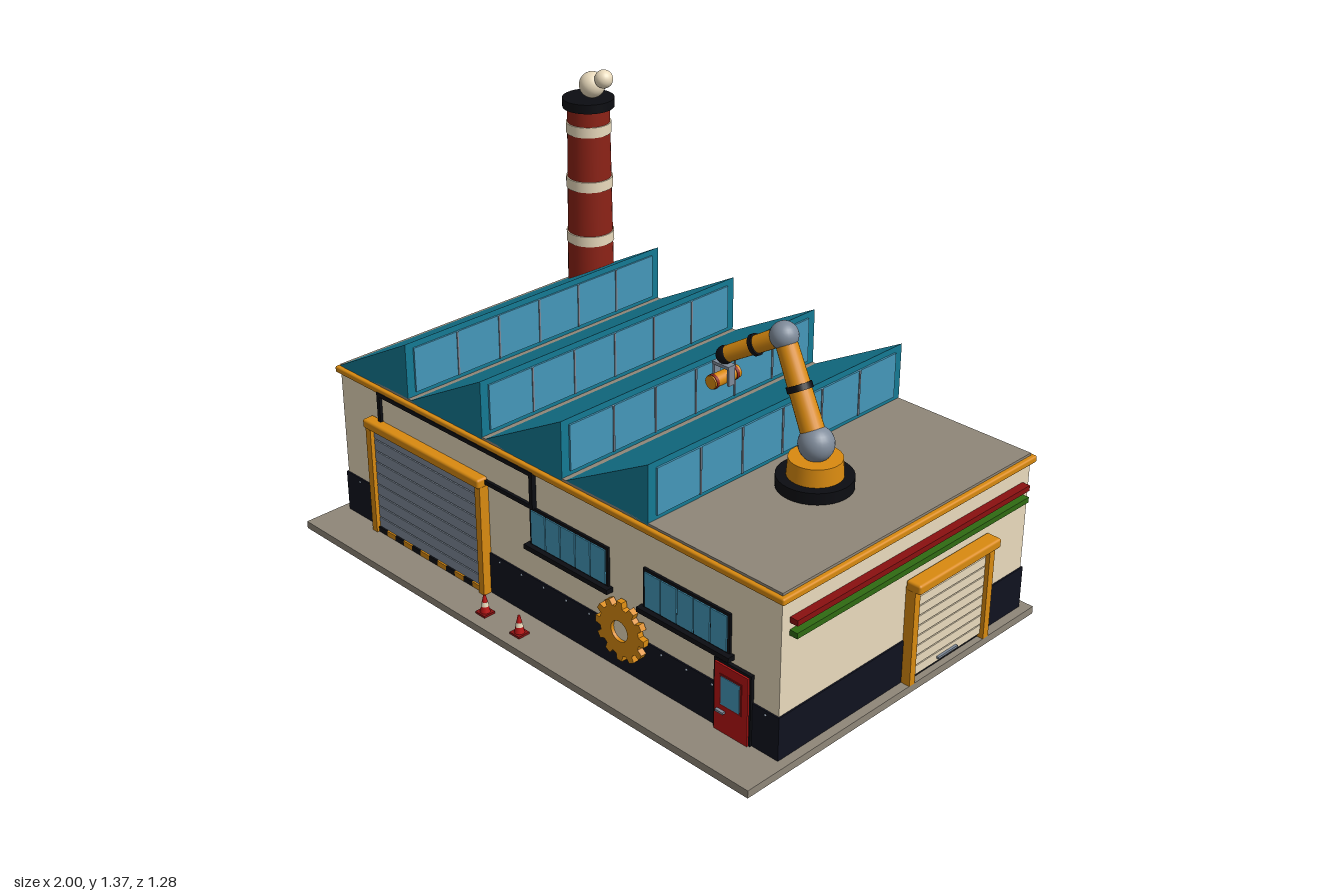
import * as THREE from 'three';
import { RoundedBoxGeometry } from 'three/addons/geometries/RoundedBoxGeometry.js';

const C = {
  cream: 0xeadbbd, navy: 0x10121f, orange: 0xd98a10, red: 0xb81414, brick: 0x8c2216, teal: 0x147a94,
  glass: 0x4598ba, slab: 0x8f8779, steel: 0x7f8b9a, black: 0x0c0d12, green: 0x2f6a12, maroon: 0x8a1010,
};
const mats = {};
const mat = (c) => (mats[c] ??= new THREE.MeshStandardMaterial({ color: C[c] }));

function add(parent, name, geo, color, x = 0, y = 0, z = 0) {
  const m = new THREE.Mesh(geo, mat(color));
  m.name = name;
  m.position.set(x, y, z);
  parent.add(m);
  return m;
}

// Box given by its extents; r > 0 rounds the edges
function box(parent, name, color, x0, x1, y0, y1, z0, z1, r = 0) {
  const s = [x1 - x0, y1 - y0, z1 - z0];
  const geo = r ? new RoundedBoxGeometry(...s, 2, r) : new THREE.BoxGeometry(...s);
  return add(parent, name, geo, color, (x0 + x1) / 2, (y0 + y1) / 2, (z0 + z1) / 2);
}

const cyl = (parent, name, color, r0, r1, y0, y1, x = 0, z = 0) =>
  add(parent, name, new THREE.CylinderGeometry(r1, r0, y1 - y0, 32), color, x, (y0 + y1) / 2, z);

const ball = (parent, name, color, r, p) => add(parent, name, new THREE.SphereGeometry(r, 24, 16), color, ...p);

// Cylinder between two points
function rod(parent, name, color, a, b, ra, rb = ra) {
  const d = b.clone().sub(a);
  const m = add(parent, name, new THREE.CylinderGeometry(rb, ra, d.length(), 24), color);
  m.position.copy(a).addScaledVector(d, 0.5);
  m.quaternion.setFromUnitVectors(new THREE.Vector3(0, 1, 0), d.normalize());
}

function group(parent, name, x = 0, y = 0, z = 0) {
  const g = new THREE.Group();
  g.name = name;
  g.position.set(x, y, z);
  parent.add(g);
  return g;
}

// Roller door standing on its group's origin, facing +z
function rollerDoor(g, w, h, color, slats, depth) {
  const post = 0.024, hw = w / 2;
  for (const s of [-1, 1]) {
    const x = s * (hw - post / 2);
    box(g, 'doorPost', 'orange', x - post / 2, x + post / 2, 0, h - 0.02, 0, 0.034);
  }
  box(g, 'doorHeader', 'orange', -hw - 0.003, hw + 0.003, h - 0.032, h, 0, depth, 0.008);
  box(g, 'doorBacking', 'black', -hw + post, hw - post, 0, h - 0.02, 0, 0.012);
  const pitch = (h - 0.042) / slats;
  for (let i = 0; i < slats; i++) {
    const y = 0.012 + i * pitch;
    box(g, 'doorSlat', color, -hw + post, hw - post, y + 0.002, y + pitch - 0.002, 0, 0.02);
  }
}

// Glazed strip window facing +z
function stripWindow(g, w, h, panes) {
  box(g, 'windowFrame', 'black', -w / 2, w / 2, 0, h, 0, 0.008);
  box(g, 'windowSill', 'black', -w / 2 - 0.012, w / 2 + 0.012, -0.012, 0.004, 0, 0.025);
  const p = (w - 0.014) / panes;
  for (let i = 0; i < panes; i++) {
    const x = -w / 2 + 0.007 + i * p;
    box(g, 'windowPane', 'glass', x + 0.002, x + p - 0.002, 0.009, h - 0.009, 0, 0.012);
  }
}

function gearGeometry(teeth, rIn, rOut, rHole, depth) {
  const s = new THREE.Shape();
  const step = (Math.PI * 2) / teeth;
  for (let i = 0; i < teeth; i++) {
    [[-0.32, rIn], [-0.2, rOut], [0.2, rOut], [0.32, rIn]].forEach(([f, r], k) => {
      const a = (i + f) * step;
      s[i + k === 0 ? 'moveTo' : 'lineTo'](Math.cos(a) * r, Math.sin(a) * r);
    });
  }
  s.closePath();
  s.holes.push(new THREE.Path().absarc(0, 0, rHole, 0, Math.PI * 2, true));
  return new THREE.ExtrudeGeometry(s, { depth, bevelEnabled: false, curveSegments: 24 });
}

function buildShell(root) {
  box(root, 'groundSlab', 'slab', -1, 0.98, 0, 0.025, -0.638, 0.638);
  box(root, 'walls', 'cream', -0.965, 0.945, 0.025, 0.535, -0.603, 0.482);
  box(root, 'baseBand', 'navy', -0.97, 0.95, 0.025, 0.167, -0.608, 0.487);
  box(root, 'roofTrim', 'orange', -0.98, 0.96, 0.53, 0.552, -0.617, 0.495, 0.006);
  box(root, 'roofDeck', 'slab', -0.965, 0.945, 0.54, 0.56, -0.603, 0.482);
  for (let i = 0; i < 19; i++) ball(root, 'rivet', 'steel', 0.004, [-0.9 + i * 0.1, 0.153, 0.487]);
  // Side stripes
  box(root, 'redStripe', 'maroon', 0.94, 0.972, 0.455, 0.473, -0.573, 0.45);
  box(root, 'greenStripe', 'green', 0.94, 0.972, 0.415, 0.433, -0.573, 0.45);
}

function buildSawtoothRoof(root) {
  const z0 = -0.605, z1 = 0.482, w = 0.354;
  for (let i = 0; i < 4; i++) {
    const g = group(root, 'sawtooth', -0.97 + i * w, 0.553, 0);
    const s = new THREE.Shape();
    s.moveTo(0, 0).lineTo(w - 0.003, 0).lineTo(w - 0.003, 0.192).closePath();
    add(g, 'roofWedge', new THREE.ExtrudeGeometry(s, { depth: z1 - z0, bevelEnabled: false }), 'teal', 0, 0, z0);
    // Skylight glazing on the upright face
    box(g, 'skylight', 'glass', w - 0.01, w + 0.003, 0.022, 0.172, -0.573, 0.452);
    for (let k = 1; k < 6; k++) {
      const z = 0.452 - (k * 1.025) / 6;
      box(g, 'mullion', 'steel', w - 0.005, w + 0.006, 0.022, 0.172, z - 0.003, z + 0.003);
    }
  }
}

function buildChimney(root) {
  const g = group(root, 'chimney', -0.83, 0, -0.49);
  cyl(g, 'stack', 'brick', 0.08, 0.071, 0.54, 1.23);
  for (const [y, r] of [[0.768, 0.081], [0.963, 0.079], [1.155, 0.076]]) cyl(g, 'stackRing', 'cream', r, r, y - 0.018, y + 0.018);
  cyl(g, 'stackCap', 'black', 0.087, 0.087, 1.225, 1.256);
  ball(g, 'smokePuff', 'cream', 0.044, [0.02, 1.303, 0]);
  ball(g, 'smokePuff', 'cream', 0.031, [0.076, 1.335, 0]);
}

function buildRobotArm(root) {
  const g = group(root, 'robotArm');
  const V = (x, y, z) => new THREE.Vector3(x, y, z);
  const shoulder = V(0.63, 0.7, 0), elbow = V(0.475, 0.977, -0.025), wrist = V(0.295, 0.872, 0.025);
  cyl(g, 'armFoot', 'black', 0.115, 0.115, 0.565, 0.602, 0.63, 0);
  cyl(g, 'armTurntable', 'orange', 0.084, 0.08, 0.602, 0.658, 0.63, 0);
  ball(g, 'shoulderJoint', 'steel', 0.054, shoulder);
  rod(g, 'upperArm', 'orange', shoulder, elbow, 0.037, 0.032);
  ball(g, 'elbowJoint', 'steel', 0.043, elbow);
  rod(g, 'forearm', 'orange', elbow, wrist, 0.029, 0.025);
  const band = (a, b, t, r) => rod(g, 'armBand', 'black', a.clone().lerp(b, t - 0.03), a.clone().lerp(b, t + 0.03), r);
  band(shoulder, elbow, 0.52, 0.039);
  band(elbow, wrist, 0.48, 0.033);
  ball(g, 'wristJoint', 'black', 0.028, wrist);
  // Gripper holding a part
  box(g, 'gripperBar', 'steel', 0.262, 0.328, 0.838, 0.848, 0.015, 0.045);
  for (const x of [0.266, 0.324]) box(g, 'gripperFinger', 'steel', x - 0.004, x + 0.004, 0.785, 0.848, 0.018, 0.042);
  rod(g, 'heldPart', 'orange', V(0.295, 0.802, -0.025), V(0.295, 0.802, 0.085), 0.021);
  for (const z of [-0.015, 0.07]) rod(g, 'heldPartCollar', 'brick', V(0.295, 0.802, z), V(0.295, 0.802, z + 0.01), 0.023);
}

function buildFront(root) {
  const z = 0.482;
  const door = group(root, 'loadingDoor', -0.527, 0.025, z);
  rollerDoor(door, 0.56, 0.41, 'steel', 9, 0.043);
  for (let i = 0; i < 12; i++) {
    const x = -0.256 + i * 0.0427;
    box(door, 'hazardStripe', i % 2 ? 'orange' : 'black', x, x + 0.0427, 0, 0.018, 0, 0.026);
  }
  // Framed sign board above the door
  const sign = group(root, 'signBoard', 0, 0, z);
  box(sign, 'signPanel', 'cream', -0.755, -0.035, 0.42, 0.53, 0, 0.006);
  for (const y of [0.42, 0.53]) box(sign, 'signRail', 'black', -0.762, -0.027, y - 0.007, y + 0.007, 0, 0.016);
  for (const x of [-0.755, -0.034]) box(sign, 'signPost', 'black', x - 0.007, x + 0.007, 0.413, 0.537, 0, 0.016);
  // Windows
  for (const x of [0.118, 0.598]) stripWindow(group(root, 'window', x, 0.283, z), 0.336, 0.132, 5);
  // Gear ornament
  const gear = group(root, 'gearOrnament', 0.347, 0.17, z);
  add(gear, 'gear', gearGeometry(12, 0.081, 0.1, 0.034, 0.02), 'orange', 0, 0, 0.004);
  add(gear, 'gearHub', new THREE.CylinderGeometry(0.036, 0.036, 0.018, 24), 'cream', 0, 0, 0.004).rotation.x = Math.PI / 2;
  // Entrance door
  const d = group(root, 'entranceDoor', 0.782, 0.025, z);
  box(d, 'doorFrame', 'black', -0.07, 0.07, 0, 0.232, 0, 0.012);
  box(d, 'doorLeaf', 'red', -0.062, 0.064, 0, 0.224, 0, 0.018);
  box(d, 'doorWindowFrame', 'maroon', -0.04, 0.042, 0.09, 0.194, 0, 0.02);
  box(d, 'doorWindow', 'glass', -0.034, 0.036, 0.096, 0.188, 0, 0.022);
  box(d, 'doorHandle', 'steel', -0.05, -0.02, 0.068, 0.075, 0, 0.028);
}

function buildCone(root, x, z) {
  const g = group(root, 'trafficCone', x, 0.025, z);
  box(g, 'coneBase', 'maroon', -0.021, 0.021, 0, 0.007, -0.021, 0.021);
  cyl(g, 'coneBody', 'red', 0.016, 0.004, 0.007, 0.065);
  cyl(g, 'coneBand', 'cream', 0.0125, 0.0095, 0.028, 0.042);
}

export function createModel() {
  const root = new THREE.Group();
  root.name = 'factory';
  buildShell(root);
  buildSawtoothRoof(root);
  buildChimney(root);
  buildRobotArm(root);
  buildFront(root);
  // Side roller door, turned to face +x
  const side = group(root, 'sideDoor', 0.947, 0.025, -0.225);
  side.rotation.y = Math.PI / 2;
  rollerDoor(side, 0.37, 0.347, 'cream', 9, 0.053);
  box(side, 'doorPull', 'steel', -0.045, 0.045, 0.024, 0.031, 0, 0.028);
  for (const x of [-0.17, -0.012]) buildCone(root, x, 0.577);
  return root;
}
